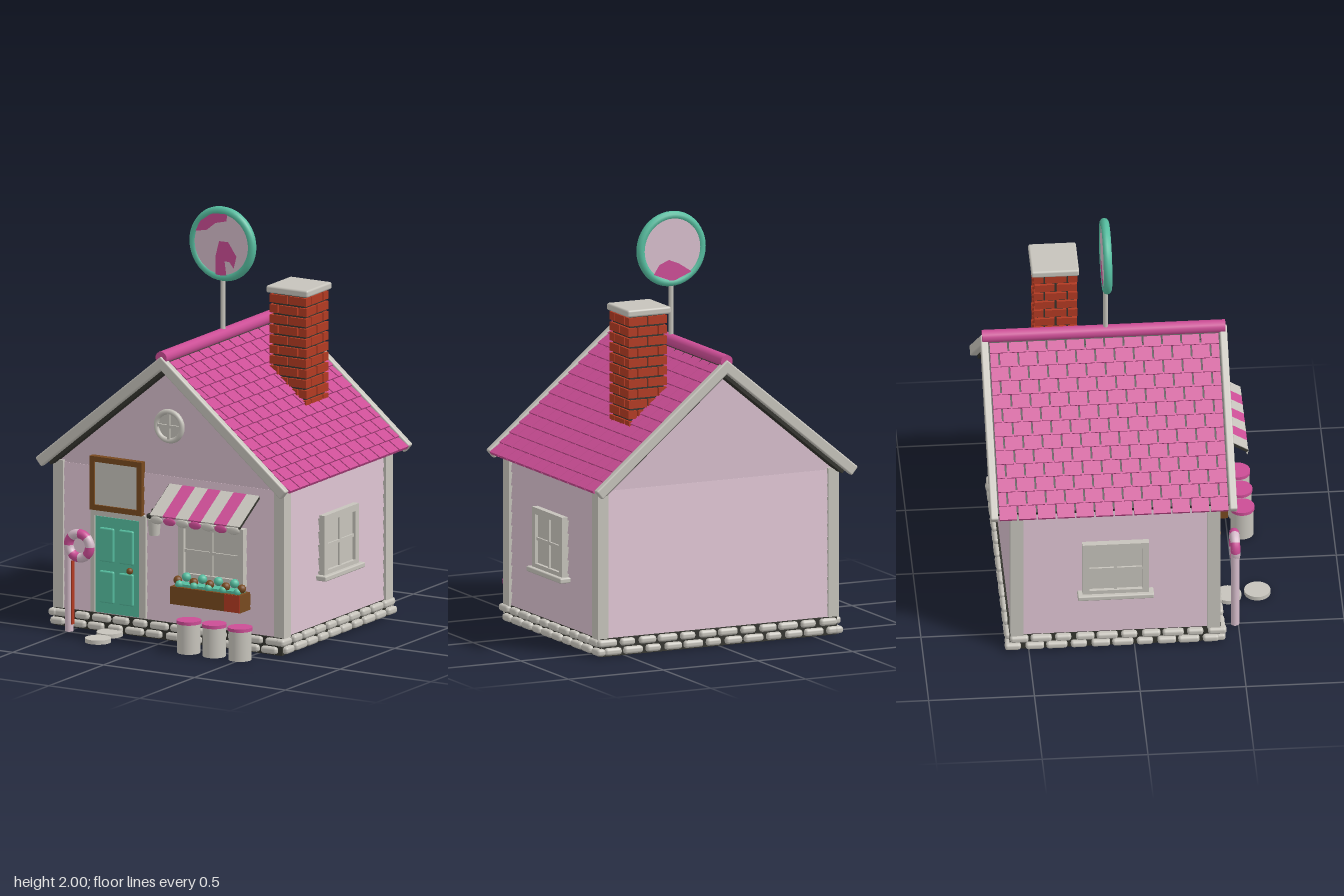
import * as THREE from 'three';
import { mergeGeometries } from 'three/addons/utils/BufferGeometryUtils.js';
import { RoundedBoxGeometry } from 'three/addons/geometries/RoundedBoxGeometry.js';

const mat = (name, color) => new THREE.MeshStandardMaterial({ name, color });
const M = {
  wall: mat('palePinkSiding', 0xd6bdcb), pink: mat('pink', 0xcb4d95), white: mat('offWhite', 0xc6c3bb),
  teal: mat('teal', 0x56bea0), brown: mat('brown', 0x77491f), brick: mat('brickRed', 0xb23a22),
  dark: mat('darkMortar', 0x34342e),
};
M.pinkPlate = M.pink.clone();
M.pinkPlate.side = THREE.DoubleSide;

// geometry helpers: every call returns a placed, non-indexed geometry
const place = (g, x, y, z, rx = 0, ry = 0, rz = 0) => {
  if (g.index) g = g.toNonIndexed();
  return g.applyMatrix4(new THREE.Matrix4().makeRotationFromEuler(new THREE.Euler(rx, ry, rz)).setPosition(x, y, z));
};
const box = (w, h, d, x, y, z, rx, ry, rz) => place(new THREE.BoxGeometry(w, h, d), x, y, z, rx, ry, rz);
const soft = (w, h, d, x, y, z, r = 0.01) => place(new RoundedBoxGeometry(w, h, d, 2, r), x, y, z);
const cyl = (r, h, x, y, z, rx, n = 28) => place(new THREE.CylinderGeometry(r, r, h, n), x, y, z, rx);
const ball = (r, x, y, z) => place(new THREE.SphereGeometry(r, 14, 10), x, y, z);
const ring = (r, t, x, y, z) => place(new THREE.TorusGeometry(r, t, 10, 48), x, y, z);

export function createModel() {
  const root = new THREE.Group();
  const add = (name, material, geoms, parent = root) => {
    const m = new THREE.Mesh(mergeGeometries([].concat(geoms)), material);
    m.name = name;
    parent.add(m);
    return m;
  };
  const ZC = -0.09; // middle of the house in z

  // stone foundation: dark slab with two staggered rows of rounded stones
  add('foundation', M.dark, box(1.25, 0.085, 1.0, 0, 0.0425, ZC));
  const stones = [];
  for (let row = 0; row < 2; row++) {
    const y = 0.023 + row * 0.042;
    for (const s of [-1, 1]) {
      for (let i = 0; i < 12; i++) {
        const w = 0.088 + 0.012 * ((i * 5 + row) % 3 - 1);
        stones.push(soft(w, 0.035, 0.045, -0.59 + i * 0.106 + row * 0.03 - 0.015, y, ZC + s * 0.498, 0.014));
      }
      for (let i = 0; i < 10; i++) {
        const w = 0.088 + 0.012 * ((i * 7 + row) % 3 - 1);
        stones.push(soft(0.045, 0.035, w, s * 0.627, y, ZC - 0.475 + i * 0.104 + row * 0.03 - 0.01, 0.014));
      }
    }
  }
  add('foundationStones', M.white, stones);

  // wall body with gables
  const house = new THREE.Shape();
  [[-0.615, 0.06], [0.615, 0.06], [0.615, 0.8], [0, 1.315], [-0.615, 0.8]]
    .forEach(([x, y], i) => (i ? house.lineTo(x, y) : house.moveTo(x, y)));
  add('walls', M.wall, place(new THREE.ExtrudeGeometry(house, { depth: 0.96, bevelEnabled: false }), 0, 0, ZC - 0.48));
  // overlapping clapboards, tilted outwards at the foot
  const boards = [];
  for (let i = 0; i < 11; i++) {
    const y = 0.118 + i * 0.064;
    for (const s of [-1, 1]) {
      boards.push(box(1.18, 0.066, 0.01, 0, y, ZC + s * 0.482, -s * 0.12));
      boards.push(box(0.01, 0.066, 0.9, s * 0.617, y, ZC, 0, 0, s * 0.12));
    }
  }
  add('clapboards', M.wall, boards);
  const posts = [];
  for (const x of [-0.608, 0.608]) for (const z of [-0.465, 0.465]) posts.push(box(0.056, 0.72, 0.062, x, 0.44, ZC + z));
  add('cornerPosts', M.white, posts);

  // roof: each side is a tilted group, x runs down the slope and y is outwards
  const slope = Math.atan(0.83);
  for (const s of [1, -1]) {
    const side = new THREE.Group();
    side.name = s > 0 ? 'roofLeft' : 'roofRight';
    side.position.set(0, 1.388, ZC - 0.01);
    side.rotation.set(0, s > 0 ? 0 : Math.PI, -s * slope, 'ZYX');
    if (s < 0) side.position.z = ZC - 0.01;
    root.add(side);
    add('roofDeck', M.dark, box(0.865, 0.045, 1.1, 0.4325, -0.045, 0), side);
    const tiles = [];
    for (let r = 0; r < 13; r++) {
      const n = 12, w = 1.09 / n, odd = r % 2;
      for (let i = 0; i < n + odd; i++) {
        const a = Math.max(-0.545, -0.545 + (i - odd / 2) * w), b = Math.min(0.545, -0.545 + (i + 1 - odd / 2) * w);
        tiles.push(box(0.078, 0.016, b - a - 0.009, 0.052 + r * 0.0675, -0.014, (a + b) / 2, 0, 0, 0.12));
      }
    }
    add('shingles', M.pink, tiles, side);
    add('bargeBoards', M.white, [-0.565, 0.565].map(z => soft(0.9, 0.052, 0.036, 0.448, -0.026, z, 0.008)), side);
  }
  add('ridgeCap', M.pink, cyl(0.031, 1.15, 0, 1.38, ZC - 0.01, Math.PI / 2, 16));

  // chimney with raised bricks in a staggered bond
  const cx = 0.285, cz = -0.312, bricks = [];
  add('chimneyCore', M.dark, box(0.176, 0.58, 0.176, cx, 1.29, cz));
  const bond = [[[-0.052, 0.094], [0.052, 0.094]], [[-0.08, 0.044], [0, 0.1], [0.08, 0.044]]];
  for (let r = 0; r < 11; r++) {
    for (let k = 0; k < 4; k++) {
      for (const [u, w] of bond[(r + k) % 2]) {
        const g = box(w, 0.039, 0.026, u, 1.06 + r * 0.0495, 0.087);
        bricks.push(place(g.rotateY(k * Math.PI / 2), cx, 0, cz));
      }
    }
  }
  add('chimneyBricks', M.brick, bricks);
  add('chimneyCap', M.white, soft(0.23, 0.035, 0.226, cx - 0.002, 1.598, cz - 0.003));

  // round rooftop sign
  add('signPole', M.white, cyl(0.012, 0.3, 0, 1.52, ZC, 0, 16));
  add('signDisc', M.wall, cyl(0.162, 0.03, 0, 1.82, ZC, Math.PI / 2, 48));
  add('signRim', M.teal, ring(0.16, 0.021, 0, 1.82, ZC));
  const plate = (name, pts, z) => {
    const g = new THREE.ShapeGeometry(new THREE.Shape(pts.map(p => new THREE.Vector2(...p))));
    add(name, M.pinkPlate, place(g, 0, 1.82, ZC + z));
  };
  plate('signPatch', [[-0.14, 0.05], [-0.115, 0.1], [-0.05, 0.145], [0.035, 0.15], [0.03, 0.115], [-0.03, 0.1], [-0.08, 0.06]], 0.018);
  plate('signHook', [[-0.03, -0.15], [0.03, -0.15], [0.02, -0.08], [0.045, -0.08], [0.07, -0.11], [0.085, -0.05],
    [0.04, 0.015], [-0.01, 0.015], [-0.03, -0.06]], 0.018);
  plate('signBackPatch', [[-0.1, -0.115], [0, -0.155], [0.1, -0.115], [0.07, -0.07], [0.02, -0.05], [-0.03, -0.07]], -0.018);

  // gable window
  add('gableWindow', M.white, [cyl(0.07, 0.02, 0, 1.035, 0.39, Math.PI / 2), ring(0.07, 0.013, 0, 1.035, 0.4),
    box(0.14, 0.014, 0.02, 0, 1.035, 0.4), box(0.014, 0.14, 0.02, 0, 1.035, 0.4)]);

  // four-pane windows, built facing +z and then turned
  const makeWindow = (name, w, h, x, y, z, ry, sill) => {
    const g = new THREE.Group();
    g.name = name;
    const f = 0.032;
    const parts = [box(w - f, h - f, 0.02, 0, 0, 0.008), box(0.014, h, 0.034, 0, 0, 0.01), box(w, 0.014, 0.034, 0, 0, 0.01)];
    for (const s of [-1, 1]) {
      parts.push(box(f, h, 0.05, s * (w - f) / 2, 0, 0.01), box(w, f, 0.05, 0, s * (h - f) / 2, 0.01));
    }
    if (sill) parts.push(soft(w + 0.045, 0.025, 0.075, 0, -h / 2, 0.018, 0.006));
    add('windowFrame', M.white, parts, g);
    g.position.set(x, y, z);
    g.rotation.y = ry;
    root.add(g);
  };
  makeWindow('frontWindow', 0.36, 0.28, 0.245, 0.45, 0.395, 0, false);
  for (const s of [-1, 1]) makeWindow(s > 0 ? 'leftWindow' : 'rightWindow', 0.315, 0.3, s * 0.62, 0.462, ZC, s * Math.PI / 2, true);

  // front door with four raised panels
  add('doorFrame', M.white, [box(0.024, 0.49, 0.04, -0.413, 0.335, 0.395), box(0.034, 0.49, 0.04, -0.14, 0.335, 0.395),
    box(0.3, 0.028, 0.04, -0.273, 0.572, 0.395)]);
  const door = [box(0.245, 0.465, 0.03, -0.28, 0.323, 0.395)];
  for (const x of [-0.335, -0.228]) door.push(soft(0.08, 0.165, 0.02, x, 0.422, 0.411, 0.008), soft(0.08, 0.155, 0.02, x, 0.218, 0.411, 0.008));
  add('door', M.teal, door);
  add('doorKnob', M.brown, ball(0.016, -0.203, 0.313, 0.425));

  // framed board over the door
  add('nameBoardPanel', M.white, box(0.25, 0.22, 0.025, -0.283, 0.715, 0.4));
  add('nameBoardFrame', M.brown, [-1, 1].flatMap(s => [box(0.026, 0.26, 0.045, -0.283 + s * 0.13, 0.715, 0.4),
    box(0.286, 0.026, 0.045, -0.283, 0.715 + s * 0.117, 0.4)]));

  // wall lantern
  add('lanternBody', M.white, place(new THREE.CylinderGeometry(0.032, 0.025, 0.08, 12), -0.067, 0.545, 0.425));
  add('lanternCap', M.dark, [cyl(0.036, 0.016, -0.067, 0.597, 0.425, 0, 12), cyl(0.014, 0.03, -0.067, 0.615, 0.425, 0, 12),
    box(0.015, 0.015, 0.05, -0.067, 0.6, 0.4)]);

  // striped awning with scallops
  const stripes = { white: [], pink: [] };
  for (let i = 0; i < 7; i++) {
    const x = 0.038 + i * 0.0705, list = i % 2 ? stripes.pink : stripes.white;
    list.push(box(0.0705, 0.01, 0.215, x, 0.697, 0.49, 0.56));
    list.push(place(new THREE.SphereGeometry(0.034, 14, 10).scale(1, 0.55, 0.2), x, 0.62, 0.58));
  }
  add('awningWhite', M.white, stripes.white);
  add('awningPink', M.pink, stripes.pink);
  add('awningRods', M.dark, [0.003, 0.493].map(x => box(0.008, 0.012, 0.215, x, 0.692, 0.49, 0.56)));

  // flower box
  add('flowerBox', M.brown, box(0.385, 0.085, 0.095, 0.253, 0.243, 0.445));
  add('flowerBoxPatch', M.brick, box(0.085, 0.083, 0.006, 0.402, 0.243, 0.492));
  const brownFlowers = [], tealFlowers = [box(0.35, 0.02, 0.06, 0.253, 0.288, 0.445)];
  for (let i = 0; i < 5; i++) {
    brownFlowers.push(ball(0.021, 0.083 + i * 0.088, 0.312, 0.46));
    if (i < 4) tealFlowers.push(ball(0.022, 0.125 + i * 0.088, 0.33, 0.45));
    tealFlowers.push(ball(0.018, 0.1 + i * 0.08, 0.298, 0.475));
  }
  add('flowersBrown', M.brown, brownFlowers);
  add('flowersTeal', M.teal, tealFlowers);

  // candy cane with a striped ring
  add('canePost', M.wall, cyl(0.02, 0.44, -0.5, 0.22, 0.485, 0, 16));
  add('caneRedStrip', M.brick, box(0.006, 0.31, 0.026, -0.48, 0.19, 0.485));
  const bands = { pink: [], pale: [] };
  for (let i = 0; i < 8; i++) {
    const g = new THREE.TorusGeometry(0.058, 0.023, 12, 8, Math.PI / 4);
    (i % 2 ? bands.pink : bands.pale).push(place(g, -0.443, 0.42, 0.487, 0, 0, i * Math.PI / 4));
  }
  add('caneRingPink', M.pink, bands.pink);
  add('caneRingPale', M.wall, bands.pale);

  // three lidded barrels and two stepping stones
  const xs = [0.21, 0.35, 0.492];
  add('barrels', M.white, xs.map(x => cyl(0.055, 0.143, x, 0.0715, 0.57)));
  add('barrelLids', M.pink, xs.map(x => cyl(0.059, 0.016, x, 0.15, 0.57)));
  add('steppingStones', M.white, [cyl(0.062, 0.02, -0.267, 0.01, 0.607), cyl(0.062, 0.02, -0.287, 0.01, 0.468)]);
  return root;
}
